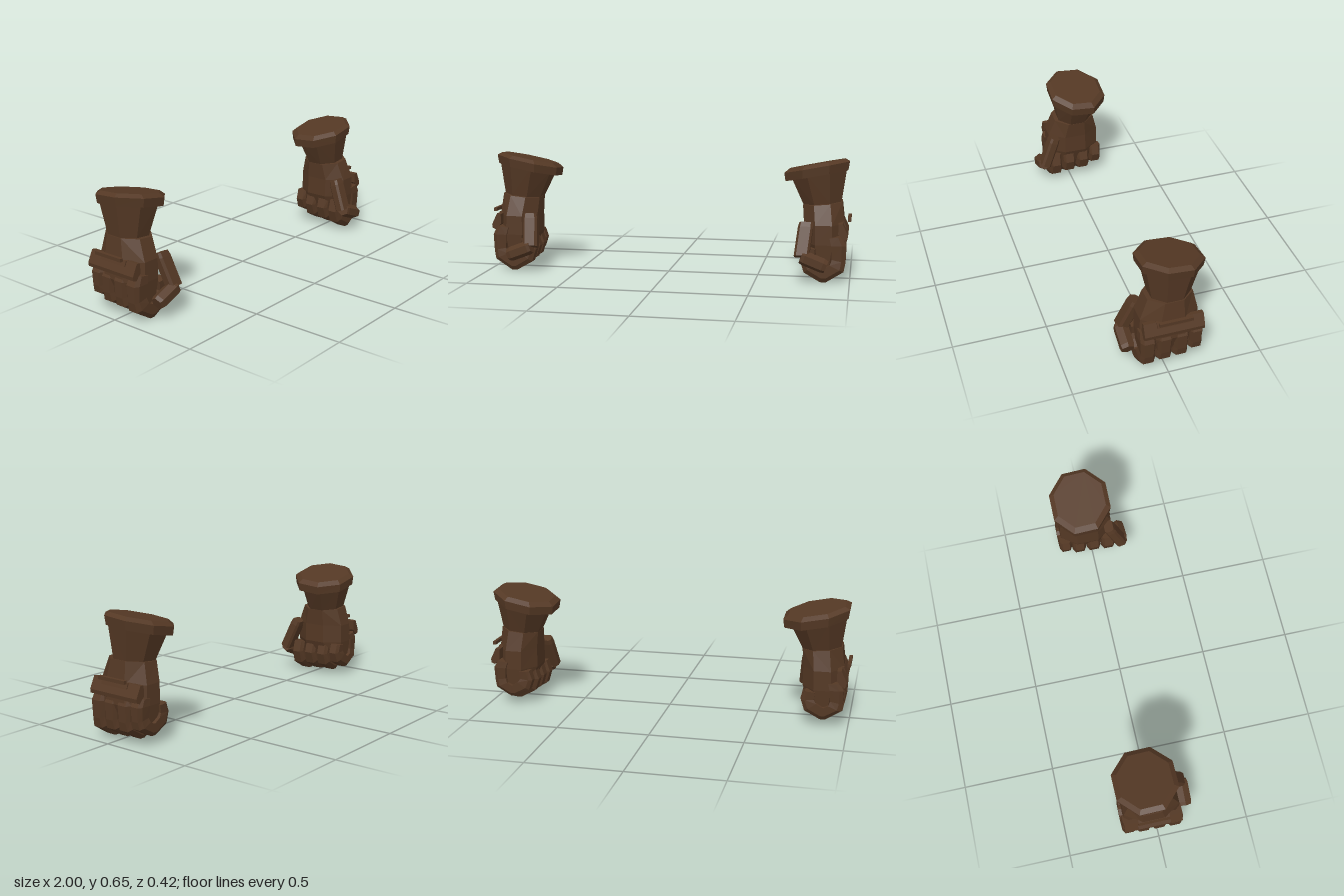
import * as THREE from 'three';

const leather = new THREE.MeshStandardMaterial({ color: 0x543824 });
leather.name = 'darkBrownLeather';

// Closed faceted skin through matching cross-sections; faces are always turned outwards
function loft(sections) {
  const tris = [];
  const n = sections[0].length;
  for (let i = 0; i < sections.length - 1; i++) {
    const a = sections[i], b = sections[i + 1];
    for (let j = 0; j < n; j++) {
      const k = (j + 1) % n;
      tris.push([a[j], a[k], b[k]], [a[j], b[k], b[j]]);
    }
  }
  const first = sections[0], last = sections[sections.length - 1];
  for (let j = 1; j < n - 1; j++) {
    tris.push([first[0], first[j + 1], first[j]], [last[0], last[j], last[j + 1]]);
  }
  let volume = 0;
  const cross = new THREE.Vector3();
  for (const [a, b, c] of tris) volume += a.dot(cross.crossVectors(b, c));
  const points = tris.flatMap(([a, b, c]) => (volume < 0 ? [a, c, b] : [a, b, c]));
  const geometry = new THREE.BufferGeometry().setFromPoints(points);
  geometry.computeVertexNormals();
  return geometry;
}

// Octagon lying on a plane that slopes along x and z
function octagon(cx, cy, cz, halfX, halfZ, slopeX = 0, slopeZ = 0) {
  const grow = 1 / Math.cos(Math.PI / 8);
  return Array.from({ length: 8 }, (_, i) => {
    const t = (i + 0.5) * Math.PI / 4;
    const x = Math.cos(t) * halfX * grow, z = Math.sin(t) * halfZ * grow;
    return new THREE.Vector3(cx + x, cy + slopeX * x + slopeZ * z, cz + z);
  });
}

// Flat outline in x and y, moved to a given z
const slice = (outline, z) => outline.map(([x, y]) => new THREE.Vector3(x, y, z));

// Straight bar with a given cross-section; the side axis sets its roll
function bar(from, to, side, outline, endScales) {
  const a = new THREE.Vector3(...from), b = new THREE.Vector3(...to);
  const u = new THREE.Vector3(...side);
  const v = new THREE.Vector3().subVectors(b, a).cross(u).normalize();
  return loft(endScales.map(([t, s]) => outline.map(([p, q]) =>
    a.clone().lerp(b, t).addScaledVector(u, p * s).addScaledVector(v, q * s))));
}

// Curled finger: outer and inner edge of the curl, with half width at each station
const outer = [[0.955, 0.25], [0.98, 0.2], [0.977, 0.11], [0.968, 0.06], [0.875, 0],
  [0.845, 0], [0.757, 0.05], [0.735, 0.12], [0.755, 0.185]];
const inner = [[0.89, 0.24], [0.9, 0.2], [0.905, 0.125], [0.895, 0.095], [0.87, 0.08],
  [0.86, 0.08], [0.825, 0.105], [0.81, 0.13], [0.815, 0.18]];
const widths = [0.036, 0.04, 0.035, 0.041, 0.041, 0.041, 0.041, 0.036, 0.038];

function finger(z, lift, width) {
  const k = 1 - lift / 0.24;
  return loft(outer.map((o, i) => {
    const w = widths[i] * width;
    // [blend from outer to inner edge, sideways offset]
    return [[0, 0.64], [0.3, 1], [1, 1], [1, -1], [0.3, -1], [0, -0.64]].map(([t, s]) => {
      const x = THREE.MathUtils.lerp(o[0], inner[i][0], t);
      const y = THREE.MathUtils.lerp(o[1], inner[i][1], t);
      return new THREE.Vector3(0.9 + (x - 0.9) * (0.5 + 0.5 * k), 0.24 - (0.24 - y) * k, z + s * w);
    });
  }));
}

function gloveParts() {
  const parts = {};

  // Flared cuff and its tilted rim
  parts.cuff = loft([
    octagon(0.845, 0.405, -0.04, 0.1, 0.1, 0.12, 0.03),
    octagon(0.822, 0.575, -0.05, 0.148, 0.143, 0.2, 0.08),
  ]);
  parts.cuffRim = loft([
    octagon(0.81, 0.553, -0.05, 0.166, 0.156, 0.2, 0.08),
    octagon(0.81, 0.599, -0.05, 0.173, 0.161, 0.2, 0.08),
    octagon(0.81, 0.618, -0.05, 0.147, 0.136, 0.2, 0.08),
  ]);

  // Back of the hand and palm
  parts.hand = loft([
    octagon(0.846, 0.41, -0.035, 0.105, 0.118, 0.1, 0),
    octagon(0.857, 0.305, -0.027, 0.108, 0.151),
    octagon(0.86, 0.2, -0.027, 0.112, 0.153),
    octagon(0.86, 0.08, -0.027, 0.07, 0.145),
  ]);

  // Plates over the knuckles
  const plate = [[0.935, 0.315], [0.957, 0.318], [0.987, 0.256], [0.984, 0.236], [0.965, 0.228], [0.935, 0.26]];
  parts.knucklePlate = loft([slice(plate, 0.125), slice(plate, -0.188)]);
  const pad = [[0.945, 0.318], [0.965, 0.318], [0.976, 0.29], [0.95, 0.288]];
  parts.knucklePad = loft([slice(pad, 0.058), slice(pad, -0.112)]);
  const ridge = [[0.982, 0.338], [1, 0.338], [1, 0.32], [0.982, 0.32]];
  parts.knuckleRidge = loft([slice(ridge, 0.055), slice(ridge, -0.12)]);

  // Four fingers curled into a fist
  parts.indexFinger = finger(0.097, 0, 1.02);
  parts.middleFinger = finger(0.01, 0.01, 1.02);
  parts.ringFinger = finger(-0.077, 0.015, 1);
  parts.littleFinger = finger(-0.157, 0.045, 0.9);

  // Thumb lying across the front of the fist
  const block = [[-0.04, -0.018], [-0.028, -0.03], [0.028, -0.03], [0.04, -0.018],
    [0.04, 0.018], [0.028, 0.03], [-0.028, 0.03], [-0.04, 0.018]];
  parts.thumbBase = bar([0.765, 0.315, 0.1], [0.747, 0.145, 0.17], [1, 0, 0], block,
    [[0, 0.9], [0.15, 1], [1, 1]]);
  const hexagon = [[0.035, 0.02], [0, 0.04], [-0.035, 0.02], [-0.035, -0.02], [0, -0.04], [0.035, -0.02]];
  parts.thumbTip = bar([0.745, 0.145, 0.174], [0.877, 0.094, 0.174], [0, 0, 1], hexagon,
    [[0, 0.9], [0.12, 1], [0.85, 1], [1, 0.86]]);
  return parts;
}

// Mirrored copy with its corners put back in outward order
function mirrored(geometry) {
  const position = geometry.getAttribute('position');
  const points = [];
  for (let i = 0; i < position.count; i += 3) {
    for (const j of [i, i + 2, i + 1]) {
      points.push(new THREE.Vector3(-position.getX(j), position.getY(j), position.getZ(j)));
    }
  }
  const copy = new THREE.BufferGeometry().setFromPoints(points);
  copy.computeVertexNormals();
  return copy;
}

export function createModel() {
  const model = new THREE.Group();
  model.name = 'gauntlets';
  const parts = gloveParts();
  for (const side of ['left', 'right']) {
    const glove = new THREE.Group();
    glove.name = side + 'Gauntlet';
    for (const [name, geometry] of Object.entries(parts)) {
      const mesh = new THREE.Mesh(side === 'left' ? geometry : mirrored(geometry), leather);
      mesh.name = name;
      glove.add(mesh);
    }
    model.add(glove);
  }
  return model;
}
